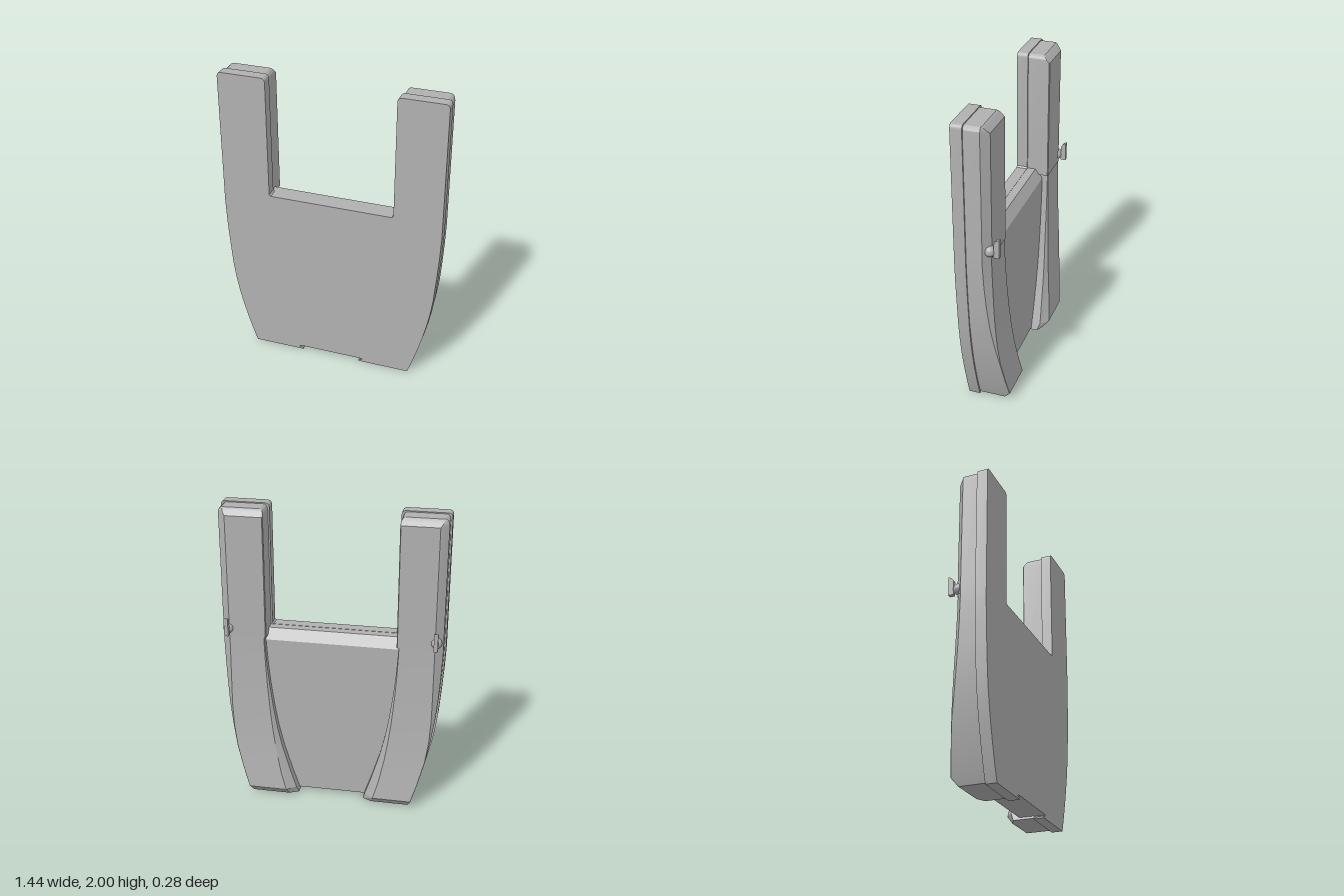
import * as THREE from 'three';
import { toCreasedNormals } from 'three/addons/utils/BufferGeometryUtils.js';

const grey = new THREE.MeshStandardMaterial({ color: 0xb0b0b0 });
grey.name = 'grey';

function addMesh(parent, name, geometry, crease = 0.35) {
  const mesh = new THREE.Mesh(toCreasedNormals(geometry, crease), grey);
  mesh.name = name;
  parent.add(mesh);
  return mesh;
}

// Closed skin through horizontal rings of [x, z] points; side = -1 mirrors it in x
function loft(rings, side) {
  const n = rings[0].points.length, pos = [], index = [];
  for (const { y, points } of rings) {
    const ring = points.map(([x, z]) => [x * side, y, z]);
    if (side < 0) ring.reverse();
    ring.forEach(p => pos.push(...p));
  }
  for (let r = 0; r < rings.length - 1; r++) {
    for (let i = 0; i < n; i++) {
      const a = r * n + i, b = r * n + (i + 1) % n;
      index.push(a, b, b + n, a, b + n, a + n);
    }
  }
  const top = (rings.length - 1) * n;
  for (let i = 1; i < n - 1; i++) {
    index.push(0, i + 1, i, top, top + i, top + i + 1);
  }
  const g = new THREE.BufferGeometry();
  g.setAttribute('position', new THREE.Float32BufferAttribute(pos, 3));
  g.setIndex(index);
  return g;
}

// Half section: outer wall, outer chamfer, back, inner chamfer, inner wall
const section = (y, xo, xb, xd, xi, zc, zb, zi) => ({
  y, points: [[xo, 0.08], [xo, zc], [xb, zb], [xd, zb], [xi, zi], [xi, 0.08]],
});

// Leg sections from the foot upward
const LEG = [
  [0.01, 0.53, 0.528, 0.28, 0.22, -0.098, -0.1, -0.07],
  [0.06, 0.55, 0.548, 0.295, 0.235, -0.138, -0.14, -0.09],
  [0.18, 0.587, 0.585, 0.33, 0.275, -0.123, -0.126, -0.085],
  [0.35, 0.632, 0.629, 0.365, 0.325, -0.104, -0.107, -0.08],
  [0.5, 0.66, 0.65, 0.388, 0.36, -0.08, -0.095, -0.075],
  [0.65, 0.682, 0.659, 0.405, 0.385, -0.06, -0.086, -0.07],
  [0.8, 0.695, 0.66, 0.418, 0.405, -0.046, -0.079, -0.068],
  [0.95, 0.704, 0.66, 0.428, 0.42, -0.036, -0.074, -0.067],
  [1.1, 0.71, 0.66, 0.434, 0.43, -0.03, -0.07, -0.066],
  [1.2, 0.71, 0.66, 0.436, 0.434, -0.03, -0.07, -0.066],
];

// Prong sections, rounded and bevelled at the tip
const PRONG = [
  [1.15, 0.71, 0.66, 0.425, 0.42, -0.03, -0.073, -0.068],
  [1.95, 0.71, 0.66, 0.425, 0.42, -0.03, -0.073, -0.068],
  [1.97, 0.708, 0.675, 0.427, 0.422, -0.03, -0.055, -0.05],
  [1.985, 0.7, 0.68, 0.435, 0.43, -0.03, -0.042, -0.038],
  [1.993, 0.688, 0.678, 0.447, 0.442, -0.028, -0.032, -0.03],
];

function frontPlate() {
  const right = [[0.54, 0], [0.55, 0.025], [0.575, 0.1], [0.605, 0.2], [0.632, 0.3],
    [0.655, 0.4], [0.674, 0.5], [0.69, 0.62], [0.704, 0.8], [0.714, 0.95], [0.72, 1.1]];
  const s = new THREE.Shape();
  s.moveTo(0.2, 0);
  right.forEach(p => s.lineTo(...p));
  for (const d of [1, -1]) {
    // Rounded prong tip, traced outward-in on one side and inward-out on the other
    const first = d > 0 ? 0.72 : -0.41, last = d > 0 ? 0.41 : -0.72;
    s.lineTo(first, 1.97);
    s.quadraticCurveTo(first, 2, first - 0.03, 2);
    s.lineTo(last + 0.03, 2);
    s.quadraticCurveTo(last, 2, last, 1.97);
    if (d > 0) {
      s.lineTo(0.41, 1.2);
      s.lineTo(0.4, 1.19);
      s.lineTo(-0.4, 1.19);
      s.lineTo(-0.41, 1.2);
    }
  }
  right.slice().reverse().forEach(([x, y]) => s.lineTo(-x, y));
  // Shallow notch in the bottom edge
  [[-0.2, 0], [-0.2, 0.01], [-0.225, 0.015], [-0.225, 0.022], [-0.2, 0.025],
    [0.2, 0.025], [0.225, 0.022], [0.225, 0.015], [0.2, 0.01]].forEach(p => s.lineTo(...p));
  s.closePath();
  return new THREE.ExtrudeGeometry(s, { depth: 0.072, bevelEnabled: false, curveSegments: 6 })
    .translate(0, 0, 0.07);
}

// Centre panel: side profile with a sloped upper back edge
function centrePanel() {
  const s = new THREE.Shape([[-0.03, 0.025], [0.08, 0.025], [0.08, 1.188], [0.015, 1.188], [-0.03, 1.12]]
    .map(p => new THREE.Vector2(...p)));
  return new THREE.ExtrudeGeometry(s, { depth: 0.9, bevelEnabled: false })
    .rotateY(-Math.PI / 2).translate(0.45, 0, 0);
}

// Thin upright tab with a sloped, rounded top
function hookTab() {
  const s = new THREE.Shape();
  s.moveTo(-0.09, 1.165);
  s.lineTo(-0.09, 1.255);
  s.quadraticCurveTo(-0.1, 1.285, -0.124, 1.287);
  s.lineTo(-0.124, 1.165);
  s.closePath();
  return new THREE.ExtrudeGeometry(s, { depth: 0.026, bevelEnabled: false, curveSegments: 6 })
    .rotateY(-Math.PI / 2).translate(0.013, 0, 0);
}

export function createModel() {
  const model = new THREE.Group();
  model.name = 'forkedPanel';
  addMesh(model, 'frontPlate', frontPlate());
  addMesh(model, 'centrePanel', centrePanel());

  for (const side of [1, -1]) {
    const label = side > 0 ? 'left' : 'right';
    addMesh(model, label + 'Leg', loft(LEG.map(r => section(...r)), side));
    addMesh(model, label + 'Prong', loft(PRONG.map(r => section(...r)), side));

    // Knob and tab on the outer chamfer
    const hook = new THREE.Group();
    hook.name = label + 'Hook';
    hook.position.x = side * 0.668;
    addMesh(hook, 'knob', new THREE.SphereGeometry(0.035, 16, 12).translate(0, 1.2, -0.062), 1);
    addMesh(hook, 'tab', hookTab());
    model.add(hook);
  }
  return model;
}
